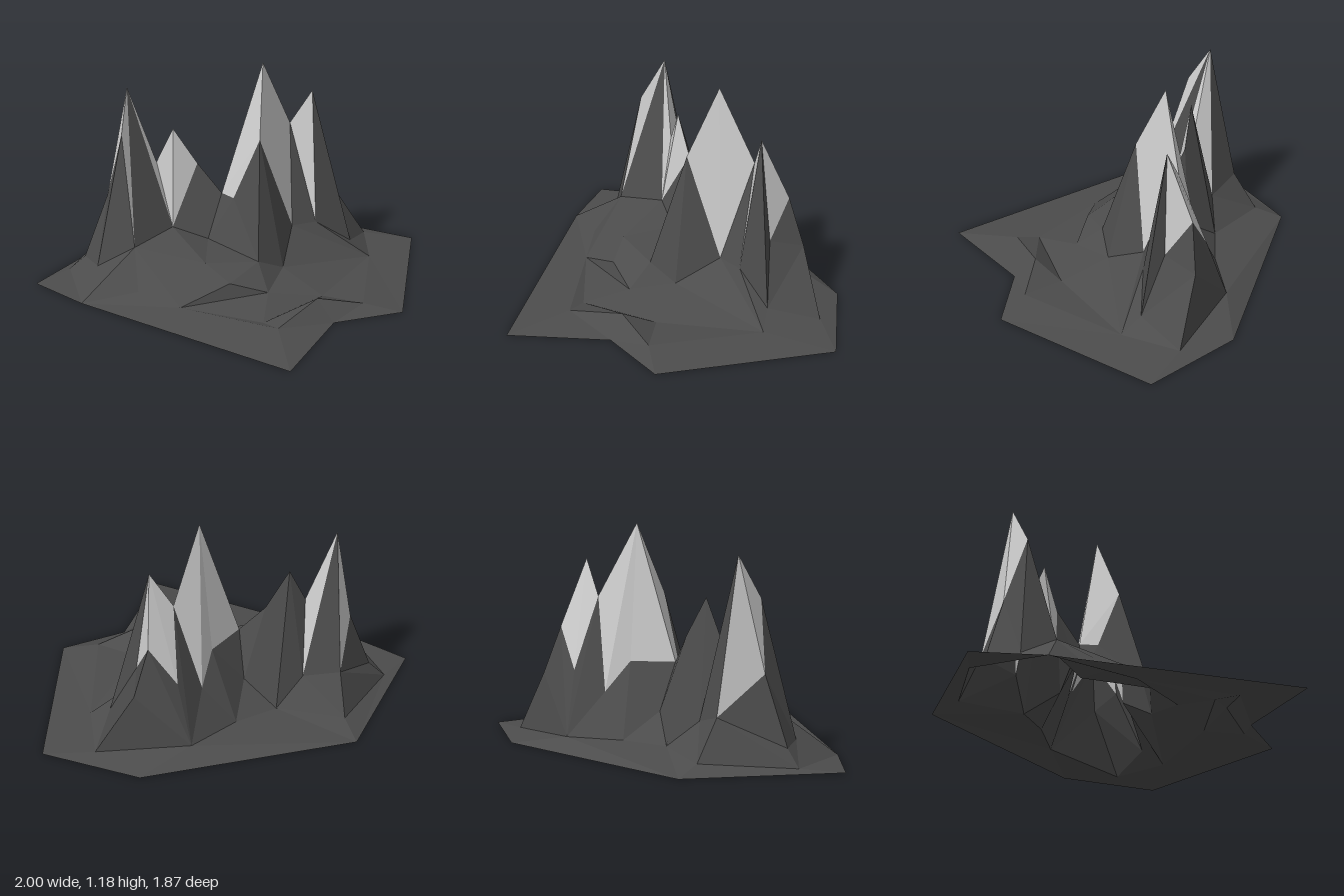
import * as THREE from 'three';

// Ground outline, in order
const rim = {
  northWest: [-1, 0, -0.7], north: [-0.2, 0, -0.94], northEast: [0.79, 0, -0.27], farEast: [1, 0, 0.25],
  southEast: [0.265, 0, 0.865], bay: [-0.09, 0, 0.71], southWest: [-0.6, 0, 0.93], farWest: [-0.955, 0.005, -0.33],
};
// Low bumps and lower slopes
const foothills = {
  mound: [-0.09, 0.095, 0.585], moundWest: [-0.4, 0.04, 0.62], moundEast: [0.135, 0.035, 0.7],
  dipWest: [-0.39, 0.02, 0.495], dipEast: [0.055, 0.02, 0.475],
  skirt: [-0.2, 0.065, 0.32], outerFoot: [-0.62, 0.03, 0.095], step: [-0.37, 0.13, 0.205],
  knoll: [-0.147, 0.18, 0.18], terrace: [-0.4, 0.2, 0.04], talus: [0.6, 0.02, 0.29],
  scree: [-0.77, 0.015, -0.71], screeTop: [-0.71, 0.1, -0.64], westSlope: [-0.745, 0.11, -0.47], flank: [-0.71, 0.06, -0.15],
  northFoot: [-0.275, 0.045, -0.8], backFoot: [0.16, 0.06, -0.39], pass: [-0.02, 0.2, -0.29],
  eastBackFoot: [0.47, 0.06, -0.345], eastTip: [0.815, 0.02, 0.035],
};
// Corners of the three massifs
const crags = {
  west: [-0.45, 1.055, -0.548], westShoulder: [-0.56, 0.83, -0.46], westFoot: [-0.615, 0.24, -0.3],
  westBack: [-0.59, 0.46, -0.57], westNorth: [-0.36, 0.255, -0.69], gully: [-0.345, 0.28, -0.31],
  notch: [-0.35, 0.63, -0.435], hollow: [-0.255, 0.2, -0.515],
  minor: [-0.273, 0.82, -0.38], spur: [-0.163, 0.61, -0.31], spurNorth: [-0.08, 0.055, -0.475], spurFoot: [-0.2, 0.21, -0.18],
  main: [0.13, 1.18, -0.097], mainShoulder: [0, 0.8, 0.025], mainFront: [0.22, 0.243, 0.05], mainFoot: [0.02, 0.1, 0.195],
  saddle: [-0.09, 0.45, -0.19], mainWest: [-0.09, 0.45, -0.09], mainBack: [0.15, 0.45, -0.205], mainEast: [0.28, 0.29, -0.25],
  col: [0.34, 0.785, -0.105],
  east: [0.42, 0.98, -0.012], eastCleft: [0.36, 0.24, 0.095], eastShoulder: [0.545, 0.62, -0.114], eastRib: [0.5, 0.41, 0.02],
  eastBack: [0.45, 0.4, -0.23], eastFoot: [0.565, 0.09, 0.17], eastLedge: [0.645, 0.36, -0.1],
};
// Sharp edges that run out from each corner
const ridges = {
  west: 'westFoot gully notch hollow westNorth westBack westShoulder',
  westShoulder: 'westFoot westBack westSlope',
  minor: 'notch gully spur hollow',
  notch: 'gully hollow',
  spur: 'gully spurNorth spurFoot saddle',
  main: 'mainShoulder mainFront col mainEast mainBack saddle',
  mainShoulder: 'mainFront mainFoot mainWest saddle knoll',
  col: 'mainFront eastCleft mainEast eastBack eastBackFoot',
  east: 'col eastCleft eastFoot eastRib eastShoulder eastBack',
  eastShoulder: 'eastRib eastLedge eastBack',
  eastBackFoot: 'eastTip',
  scree: 'farWest screeTop',
  screeTop: 'westBack',
  outerFoot: 'westFoot farWest step skirt',
  knoll: 'step skirt terrace spurFoot mainFoot',
  gully: 'terrace spurFoot',
  mainFoot: 'skirt talus',
  talus: 'mainFront eastCleft eastFoot',
  dipWest: 'dipEast',
  mound: 'moundWest moundEast',
};

const outline = Object.values(rim);
const landmarks = { ...rim, ...foothills, ...crags };
const names = Object.keys(landmarks);
const points = Object.values(landmarks);

// Twice the signed area seen from above; positive means facing up
function turn(i, j, k) {
  const [a, b, c] = [points[i], points[j], points[k]];
  return (b[2] - a[2]) * (c[0] - a[0]) - (b[0] - a[0]) * (c[2] - a[2]);
}
const facingUp = (i, j, k) => (turn(i, j, k) > 0 ? [i, j, k] : [i, k, j]);
const crosses = (a, b, c, d) =>
  turn(a, b, c) * turn(a, b, d) < -1e-12 && turn(c, d, a) * turn(c, d, b) < -1e-12;

// True when no other point lies in the circle through three points
function emptyCircle(i, j, k) {
  const [ax, , az] = points[i];
  const bx = points[j][0] - ax, bz = points[j][2] - az;
  const cx = points[k][0] - ax, cz = points[k][2] - az;
  const d = 2 * (bx * cz - bz * cx);
  if (Math.abs(d) < 1e-9) return false;
  const b2 = bx * bx + bz * bz, c2 = cx * cx + cz * cz;
  const ux = (cz * b2 - bz * c2) / d, uz = (bx * c2 - cx * b2) / d;
  const r2 = ux * ux + uz * uz;
  return points.every((p, n) => n === i || n === j || n === k ||
    (p[0] - ax - ux) ** 2 + (p[2] - az - uz) ** 2 > r2 - 1e-10);
}

function insideRim(x, z) {
  let inside = false;
  outline.forEach(([ax, , az], n) => {
    const [bx, , bz] = outline[(n + 1) % outline.length];
    if ((az > z) !== (bz > z) && x < ax + ((z - az) / (bz - az)) * (bx - ax)) inside = !inside;
  });
  return inside;
}

// Flip one triangle edge that cuts across the ridge p-q
function flipAcross(faces, p, q) {
  for (const face of faces) {
    for (let e = 0; e < 3; e++) {
      const u = face[e], v = face[(e + 1) % 3], w = face[(e + 2) % 3];
      if (!crosses(p, q, u, v)) continue;
      const other = faces.find((f) => f !== face && f.includes(u) && f.includes(v));
      if (!other) continue;
      const o = other.find((n) => n !== u && n !== v);
      if (!crosses(u, v, w, o)) continue;
      faces[faces.indexOf(face)] = facingUp(w, o, u);
      faces[faces.indexOf(other)] = facingUp(w, o, v);
      return true;
    }
  }
  return false;
}

function triangulate() {
  const faces = [];
  const count = points.length;
  for (let i = 0; i < count; i++)
    for (let j = i + 1; j < count; j++)
      for (let k = j + 1; k < count; k++) {
        if (!emptyCircle(i, j, k)) continue;
        const mid = (axis) => (points[i][axis] + points[j][axis] + points[k][axis]) / 3;
        if (insideRim(mid(0), mid(2))) faces.push(facingUp(i, j, k));
      }
  for (const [from, list] of Object.entries(ridges))
    for (const to of list.split(' '))
      for (let n = 0; n < 12 && flipAcross(faces, names.indexOf(from), names.indexOf(to)); n++);
  return faces;
}

function terrain(name, faces, color) {
  const geometry = new THREE.BufferGeometry();
  const positions = faces.flat().flatMap((n) => points[n]);
  geometry.setAttribute('position', new THREE.Float32BufferAttribute(positions, 3));
  geometry.computeVertexNormals();
  const material = new THREE.MeshStandardMaterial({ color, flatShading: true, side: THREE.DoubleSide });
  const mesh = new THREE.Mesh(geometry, material);
  mesh.name = name;
  return mesh;
}

export function createModel() {
  const group = new THREE.Group();
  group.name = 'mountains';
  const faces = triangulate();
  // Faces high enough on average carry snow
  const snowy = (f) => f.reduce((sum, n) => sum + points[n][1], 0) / 3 > 0.555;
  group.add(terrain('rock', faces.filter((f) => !snowy(f)), 0x4c4c4c));
  group.add(terrain('snowCaps', faces.filter(snowy), 0xcccccc));
  return group;
}
